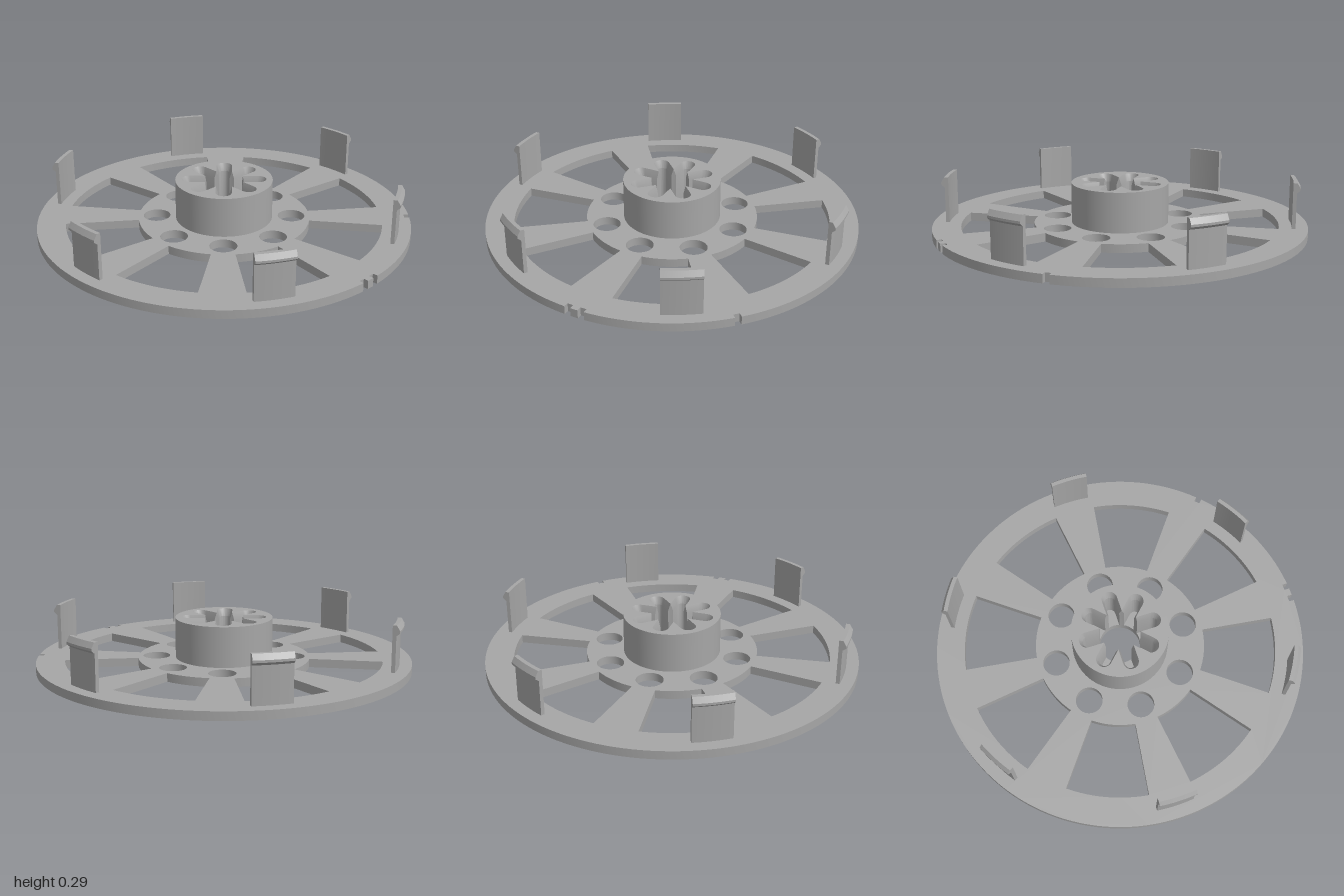
import * as THREE from 'three';
import { toCreasedNormals } from 'three/addons/utils/BufferGeometryUtils.js';

const BASE = 0.045, HUB_TOP = 0.26, HUB_R = 0.26, BORE = 0.11;
const polar = (r, a) => new THREE.Vector2(r * Math.cos(a), r * Math.sin(a));
const arc = (r, a0, a1, n) =>
  Array.from({ length: n + 1 }, (_, i) => polar(r, a0 + ((a1 - a0) * i) / n));
const circle = (x, y, r, n = 40) =>
  arc(r, 0, Math.PI * 2, n).slice(0, -1).map((p) => p.add(new THREE.Vector2(x, y)));

// Flat wheel: notched rim, eight tapered spokes, ring of round holes
function plateGeometry() {
  const rad = Math.PI / 180, rim = [];
  const notches = [-2.1, 2.1, 45].map((d) => d * rad), half = 0.95 * rad;
  let from = -5 * rad;
  for (const a of notches) {
    const n = Math.max(1, Math.round((a - from) / (2.5 * rad)));
    rim.push(...arc(1, from, a - half, n), polar(0.973, a - half), polar(0.973, a + half));
    from = a + half;
  }
  rim.push(...arc(1, from, 355 * rad, 124).slice(0, -1));
  const shape = new THREE.Shape(rim);
  shape.holes.push(new THREE.Path(circle(0, 0, BORE)));
  for (let i = 0; i < 8; i++) {
    const a = (i * Math.PI) / 4, c = polar(0.363, a);
    shape.holes.push(new THREE.Path(circle(c.x, c.y, 0.072)));
    const a0 = a + 7.7 * rad, a1 = a + 37.3 * rad;
    shape.holes.push(new THREE.Path([...arc(0.848, a0, a1, 12), ...arc(0.46, a1, a0, 10)]));
  }
  const g = new THREE.ExtrudeGeometry(shape, { depth: BASE, bevelEnabled: false });
  g.rotateX(-Math.PI / 2);
  return toCreasedNormals(g, 0.4);
}

// Outline of the bore with eight round-ended slots
function slotOutline(end, hw) {
  const pts = [], c = end - hw, inner = Math.sqrt(BORE * BORE - hw * hw);
  for (let i = 0; i < 8; i++) {
    const a = (i * Math.PI) / 4, o = new THREE.Vector2();
    const local = [
      new THREE.Vector2(inner, -hw),
      ...arc(hw, -Math.PI / 2, Math.PI / 2, 10).map((p) => p.add(new THREE.Vector2(c, 0))),
      new THREE.Vector2(inner, hw),
      polar(BORE, Math.PI / 8),
    ];
    pts.push(...local.map((p) => p.rotateAround(o, a)));
  }
  return pts;
}

// Inner wall of the hub, lofted through the slot outlines from top to bottom
function boreGeometry(rings) {
  const pos = [];
  for (let k = 0; k + 1 < rings.length; k++) {
    const [top, y1] = rings[k], [low, y0] = rings[k + 1];
    for (let i = 0; i < top.length; i++) {
      const j = (i + 1) % top.length;
      const A = [top[i].x, y1, -top[i].y], B = [top[j].x, y1, -top[j].y];
      const C = [low[i].x, y0, -low[i].y], D = [low[j].x, y0, -low[j].y];
      pos.push(...A, ...B, ...C, ...B, ...D, ...C);
    }
  }
  const g = new THREE.BufferGeometry();
  g.setAttribute('position', new THREE.Float32BufferAttribute(pos, 3));
  g.computeVertexNormals();
  return toCreasedNormals(g, 0.45);
}

// Curved snap tab with an outward hooked head
function clipGeometry() {
  const profile = [
    [0.915, BASE - 0.005], [0.935, BASE - 0.005], [0.935, 0.235], [0.953, 0.25],
    [0.953, 0.262], [0.936, 0.29], [0.915, 0.29],
  ].map(([x, y]) => new THREE.Vector2(x, y));
  const g = new THREE.ExtrudeGeometry(new THREE.Shape(profile), {
    depth: 0.2, steps: 10, bevelEnabled: false,
  });
  g.translate(0, 0, -0.1);
  const p = g.attributes.position;
  for (let i = 0; i < p.count; i++) {
    const z = p.getZ(i);
    p.setX(i, p.getX(i) + Math.sqrt(0.93 * 0.93 - z * z) - 0.93);
  }
  g.computeVertexNormals();
  return toCreasedNormals(g, 0.3);
}

export function createModel() {
  const model = new THREE.Group();
  model.name = 'spokedWheel';
  const grey = new THREE.MeshStandardMaterial({ color: 0xa6a6a6 });
  grey.name = 'grey plastic';
  const greyOpen = grey;
  const add = (name, geometry, parent = model) => {
    const mesh = new THREE.Mesh(geometry, greyOpen);
    mesh.name = name;
    parent.add(mesh);
    return mesh;
  };

  add('spokedPlate', plateGeometry());

  // Hub: outer wall, top face and chamfered slotted bore
  const hub = new THREE.Group();
  hub.name = 'hub';
  model.add(hub);
  const wall = new THREE.CylinderGeometry(HUB_R, HUB_R, HUB_TOP - BASE, 80, 1, true);
  wall.translate(0, (HUB_TOP + BASE) / 2, 0);
  add('hubWall', wall, hub);
  const wide = slotOutline(0.226, 0.042), narrow = slotOutline(0.207, 0.03);
  const face = new THREE.Shape(circle(0, 0, HUB_R, 80));
  face.holes.push(new THREE.Path(wide));
  const top = new THREE.ShapeGeometry(face);
  top.rotateX(-Math.PI / 2);
  top.translate(0, HUB_TOP, 0);
  add('hubTop', top, hub);
  add('slottedBore', boreGeometry([[wide, HUB_TOP], [narrow, HUB_TOP - 0.04], [narrow, BASE]]), hub);

  // Six snap clips around the rim
  const clip = clipGeometry();
  for (let i = 0; i < 6; i++) {
    add('clip' + (i + 1), clip).rotation.y = Math.PI / 6 + (i * Math.PI) / 3;
  }
  return model;
}
